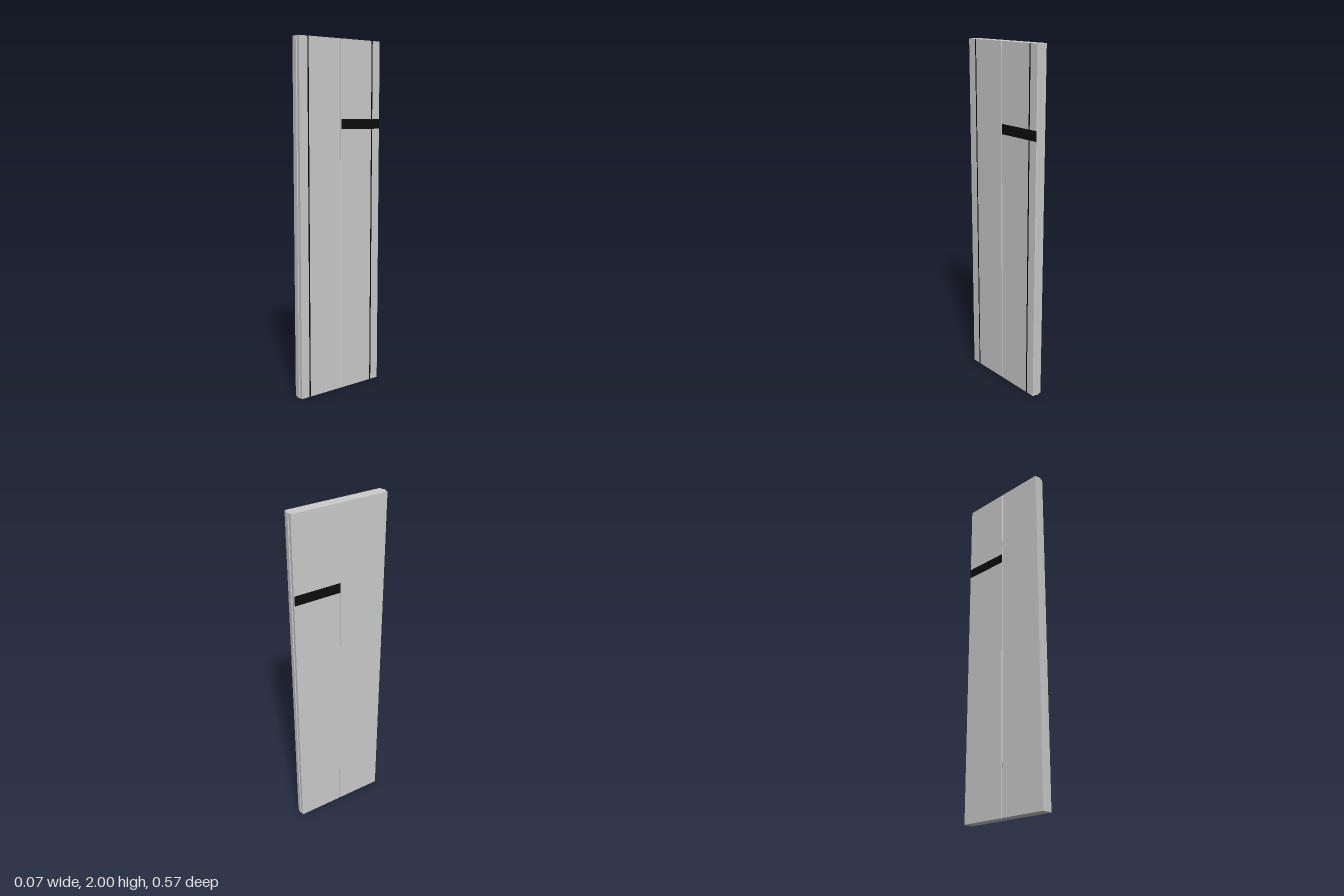
import * as THREE from 'three';

const HEIGHT = 2;
const HALF = 0.031; // half thickness of a board
const BEVEL = 0.003;

export function createModel() {
  const group = new THREE.Group();
  const grey = new THREE.MeshStandardMaterial({ color: 0xcccccc, flatShading: true });
  const black = new THREE.MeshStandardMaterial({ color: 0x0c0c0c });

  // Extrudes a half outline of [x, z] points, mirrored in x, up the full height
  function addBoard(name, half) {
    const outline = [...half, ...half.map(([x, z]) => [-x, z]).reverse()];
    const shape = new THREE.Shape(outline.map(([x, z]) => new THREE.Vector2(x, -z)));
    const geometry = new THREE.ExtrudeGeometry(shape, { depth: HEIGHT, bevelEnabled: false });
    geometry.rotateX(-Math.PI / 2);
    const mesh = new THREE.Mesh(geometry, grey);
    mesh.name = name;
    group.add(mesh);
  }

  function addBox(name, size, position) {
    const mesh = new THREE.Mesh(new THREE.BoxGeometry(...size), black);
    mesh.name = name;
    mesh.position.set(...position);
    group.add(mesh);
  }

  // Front board: tongue at the seam and a shallow tongue on the outer edge
  addBoard('frontBoard', [
    [0.009, -0.011], [0.0125, 0], [HALF - BEVEL, 0], [HALF, BEVEL],
    [HALF, 0.277], [0.011, 0.277], [0.009, 0.282],
  ]);

  // Back board: groove at the seam and a shallow tongue on the outer edge
  addBoard('backBoard', [
    [0.009, -0.284], [0.011, -0.2785], [HALF - BEVEL, -0.2785], [HALF, -0.2785 + BEVEL],
    [HALF, -BEVEL], [HALF - BEVEL, 0], [0.0125, 0], [0.009, -0.011],
  ]);

  // Thin dark lines running up the left face
  for (const z of [0.22, -0.22]) {
    addBox('inlayLine', [0.001, HEIGHT, 0.008], [HALF, HEIGHT / 2, z]);
  }

  // Dark bands across both faces of the back board
  for (const side of [1, -1]) {
    addBox('crossBand', [0.003, 0.056, 0.272], [side * (HALF + 0.0005), 1.537, -0.14]);
  }

  return group;
}
